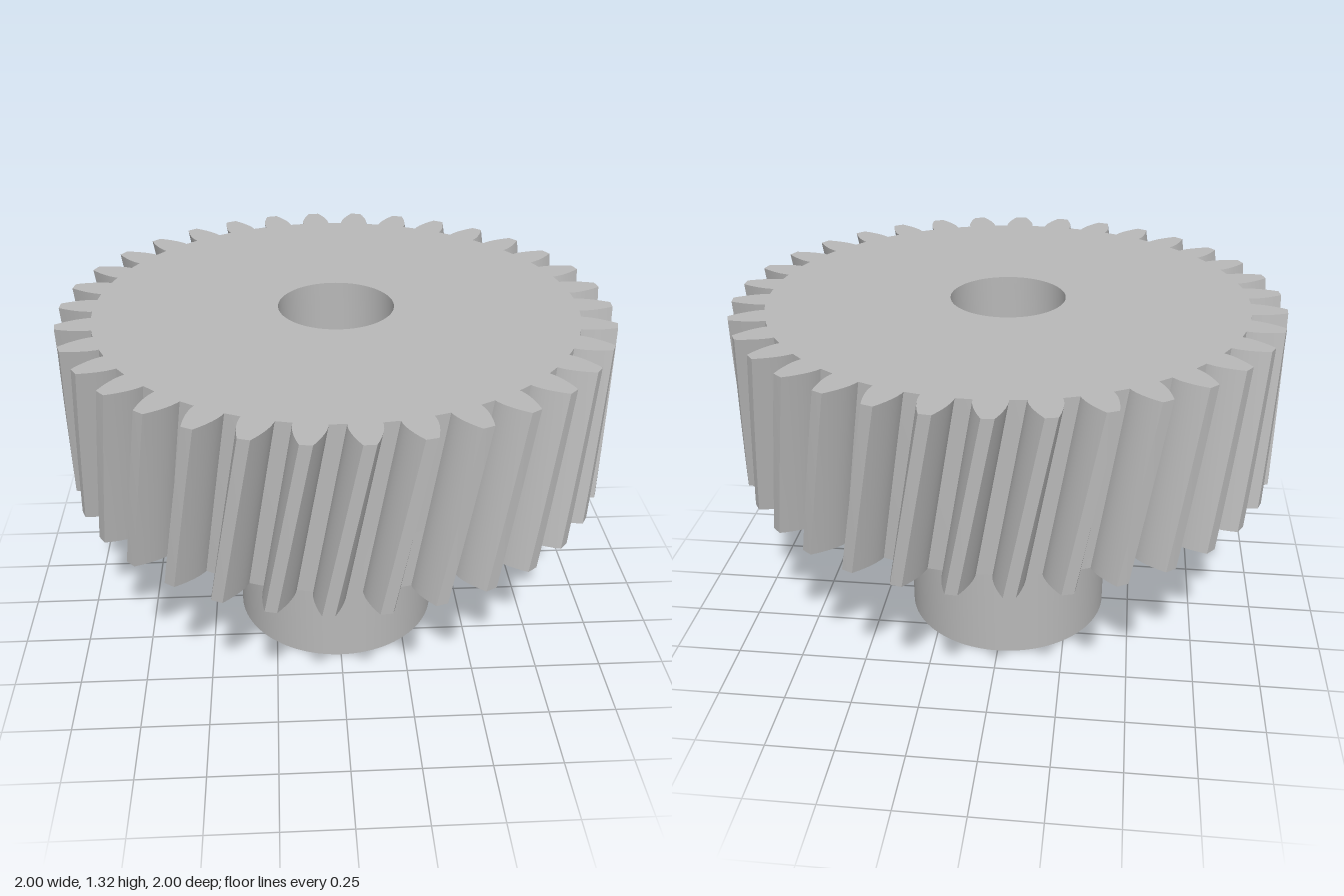
import * as THREE from 'three';
import { toCreasedNormals } from 'three/addons/utils/BufferGeometryUtils.js';

const TEETH = 34;
const GEAR_BOTTOM = 0.69, GEAR_TOP = 1.316;
const TIP = 1, PITCH = 0.944, ROOT = 0.875;
const BORE = 0.21, HUB = 0.393;
const TWIST = THREE.MathUtils.degToRad(7);
const PHASE = THREE.MathUtils.degToRad(-2.6);

// Involute tooth outline, one flank then its mirror, repeated round the wheel
function gearShape() {
  const base = PITCH * Math.cos(THREE.MathUtils.degToRad(20));
  const inv = (r) => {
    const a = Math.acos(Math.min(1, base / r));
    return Math.tan(a) - a;
  };
  const halfAngle = (r) => Math.PI / (2 * TEETH) + inv(PITCH) - inv(r);
  const flank = [ROOT, base];
  for (let i = 1; i <= 5; i++) flank.push(base + (TIP - base) * i / 5);

  const points = [];
  const add = (r, a) => points.push(new THREE.Vector2(r * Math.cos(a), r * Math.sin(a)));
  for (let t = 0; t < TEETH; t++) {
    const centre = t / TEETH * Math.PI * 2;
    flank.forEach((r) => add(r, centre - halfAngle(r)));
    add(TIP, centre);
    [...flank].reverse().forEach((r) => add(r, centre + halfAngle(r)));
  }
  return new THREE.Shape(points);
}

// Extrude a shape upwards with the shaft bore cut through it
function boredExtrusion(shape, height, steps) {
  shape.holes.push(new THREE.Path().absarc(0, 0, BORE, 0, Math.PI * 2, true));
  const geometry = new THREE.ExtrudeGeometry(shape, {
    depth: height, steps, bevelEnabled: false, curveSegments: 48,
  });
  return geometry.rotateX(-Math.PI / 2);
}

// Turn each vertex about the axis in proportion to its height
function twist(geometry, height) {
  const position = geometry.attributes.position;
  const up = new THREE.Vector3(0, 1, 0);
  const v = new THREE.Vector3();
  for (let i = 0; i < position.count; i++) {
    v.fromBufferAttribute(position, i);
    v.applyAxisAngle(up, PHASE - TWIST * (1 - v.y / height));
    position.setXYZ(i, v.x, v.y, v.z);
  }
  return geometry;
}

export function createModel() {
  const group = new THREE.Group();
  group.name = 'helicalGear';
  const steel = new THREE.MeshStandardMaterial({ color: 0xb8b8b8 });
  steel.name = 'steelGrey';

  // Toothed wheel
  const height = GEAR_TOP - GEAR_BOTTOM;
  const wheel = twist(boredExtrusion(gearShape(), height, 6), height);
  const gear = new THREE.Mesh(toCreasedNormals(wheel, 0.5), steel);
  gear.name = 'toothedWheel';
  gear.position.y = GEAR_BOTTOM;

  // Hollow hub below the wheel
  const ring = new THREE.Shape().absarc(0, 0, HUB, 0, Math.PI * 2, false);
  const hub = new THREE.Mesh(toCreasedNormals(boredExtrusion(ring, GEAR_BOTTOM, 1), 0.5), steel);
  hub.name = 'hub';

  group.add(gear, hub);
  return group;
}
